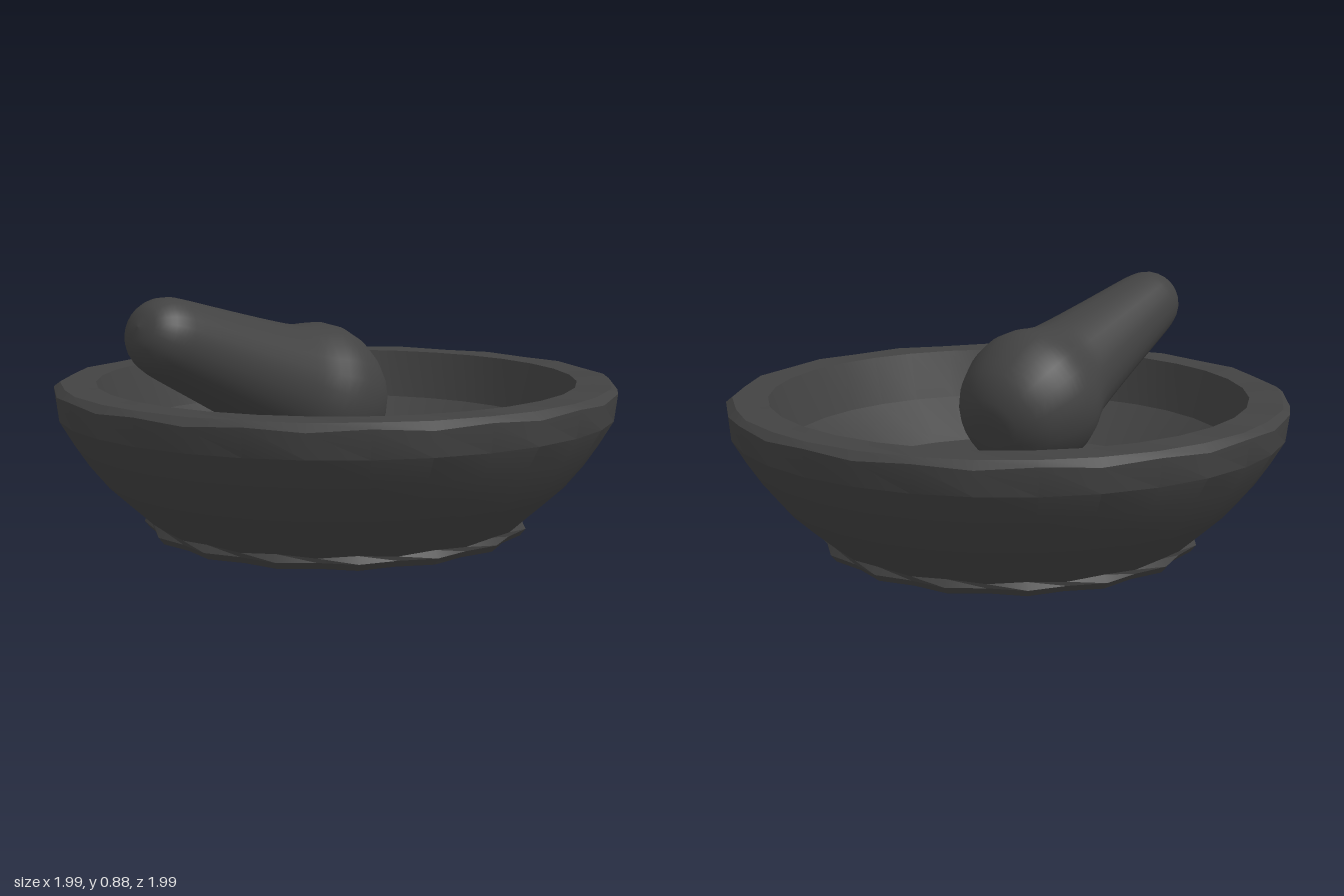
import * as THREE from 'three';
import { toCreasedNormals } from 'three/addons/utils/BufferGeometryUtils.js';

const stone = new THREE.MeshStandardMaterial({ color: 0x424242 });
const toPoints = (list) => list.map(([r, y]) => new THREE.Vector2(r, y));

// Bowl: lathe from the underside, up the outside, over the rim and down to the floor
function createBowl() {
  const sides = 32;
  const profile = [
    [0, 0], [0.67, 0], [0.69, 0.025], [0.675, 0.05], [0.75, 0.115], [0.82, 0.18], [0.885, 0.26],
    [0.935, 0.335], [0.985, 0.42], [0.997, 0.515], [0.975, 0.532],
    [0.85, 0.53], [0.8, 0.35], [0.62, 0.21], [0, 0.2],
  ];
  const geometry = new THREE.LatheGeometry(toPoints(profile), sides);

  // Chipped edges: every second corner of these rings is pulled in and down
  const chips = { 1: [0.96, 0], 2: [0.965, 0], 3: [0.99, -0.01], 9: [0.995, -0.012], 10: [0.99, -0.003] };
  const pos = geometry.attributes.position;
  for (let i = 1; i < sides; i += 2) {
    for (const [ring, [scale, drop]] of Object.entries(chips)) {
      const v = i * profile.length + Number(ring);
      pos.setXYZ(v, pos.getX(v) * scale, pos.getY(v) + drop, pos.getZ(v) * scale);
    }
  }
  const bowl = new THREE.Mesh(toCreasedNormals(geometry, 0.42), stone);
  bowl.name = 'mortarBowl';
  return bowl;
}

// Pestle: heavy rounded head tapering to a slim handle, leaning on the front rim
function createPestle() {
  const profile = [
    [0, -0.25], [0.1, -0.242], [0.185, -0.18], [0.235, -0.09], [0.256, 0], [0.248, 0.08],
    [0.21, 0.18], [0.19, 0.29], [0.162, 0.51], [0.135, 0.74],
    [0.122, 0.81], [0.1, 0.855], [0.06, 0.89], [0, 0.903],
  ];
  const curve = new THREE.SplineCurve(toPoints(profile));
  const points = curve.getPoints(39);
  points.forEach((p) => { p.x = Math.max(p.x, 0); });
  const pestle = new THREE.Mesh(new THREE.LatheGeometry(points, 24), stone);
  pestle.name = 'pestle';
  pestle.rotation.x = 1.217;
  pestle.position.set(0, 0.48, 0.12);
  return pestle;
}

export function createModel() {
  const model = new THREE.Group();
  model.name = 'mortarAndPestle';
  model.add(createBowl(), createPestle());
  return model;
}
